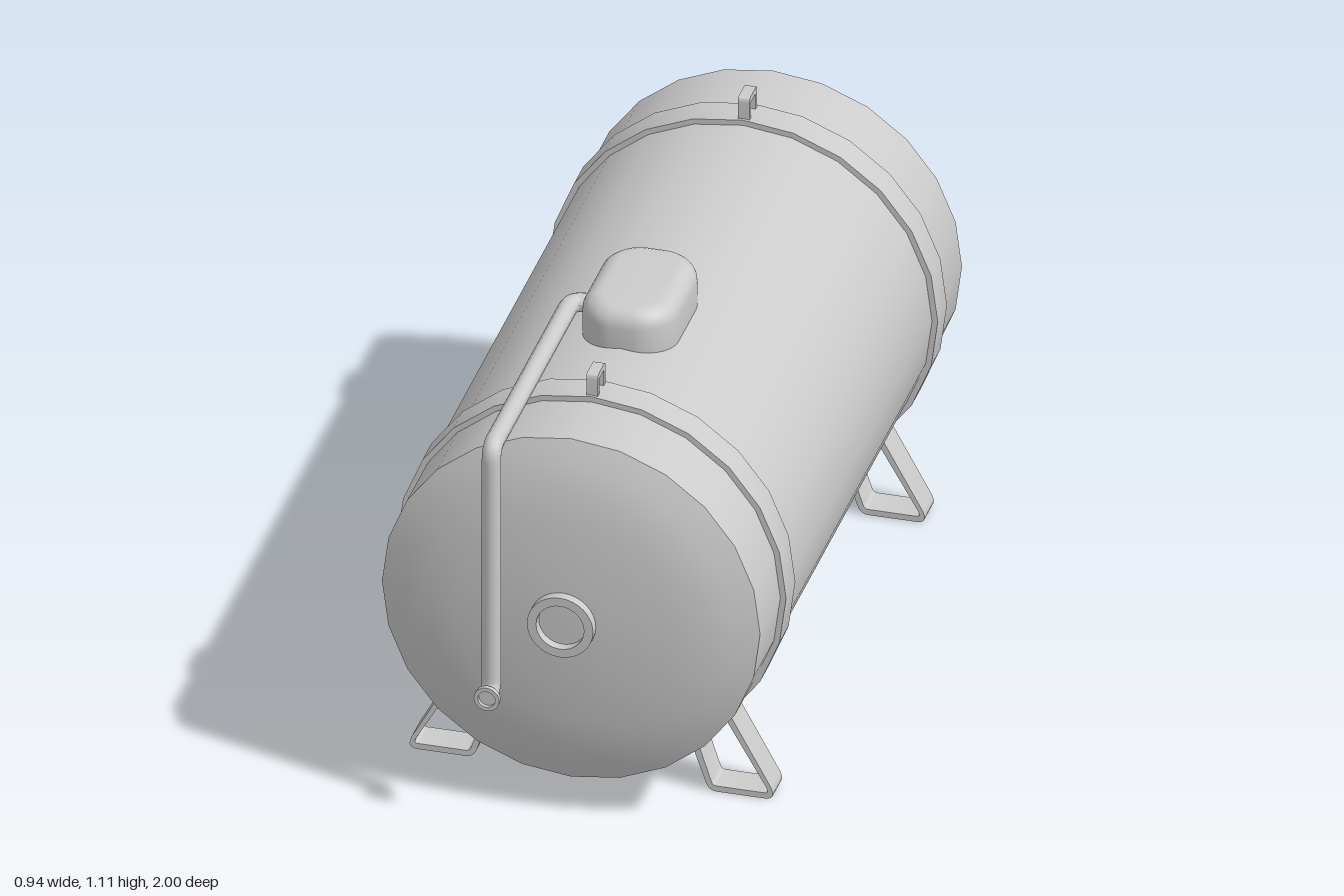
import * as THREE from 'three';
import { toCreasedNormals } from 'three/addons/utils/BufferGeometryUtils.js';

const AXIS_Y = 0.55, BODY_R = 0.458, BAND_R = 0.472, BAND_W = 0.08;
const BAND_Z = [0.635, -0.68];
const V2 = (x, y) => new THREE.Vector2(x, y);
const V3 = (x, y, z) => new THREE.Vector3(x, y, z);

export function createModel() {
  const model = new THREE.Group();
  model.name = 'horizontalTank';
  const material = new THREE.MeshStandardMaterial({ color: 0xcccccc, roughness: 0.7 });

  function add(name, geometry, x = 0, y = 0, z = 0, parent = model) {
    const mesh = new THREE.Mesh(toCreasedNormals(geometry, 0.6), material);
    mesh.name = name;
    mesh.position.set(x, y, z);
    parent.add(mesh);
    return mesh;
  }

  // Revolves [radius, z] pairs around the z axis
  const turned = (points, sides = 24) =>
    new THREE.LatheGeometry(points.map(([r, z]) => V2(r, z)), sides).rotateX(Math.PI / 2);

  // Extrudes a shape along z, centred on z = 0
  const slab = (shape, depth) =>
    new THREE.ExtrudeGeometry(shape, { depth, bevelEnabled: false, curveSegments: 6 })
      .translate(0, 0, -depth / 2);

  // Tank shell with shallow domed ends
  const dome = [[0, 0.073], [0.1, 0.071], [0.18, 0.065], [0.27, 0.056], [0.34, 0.044], [0.4, 0.026], [BODY_R, 0]];
  add('tankShell', turned([
    ...dome.map(([r, h]) => [r, -0.9 - h]),
    ...[...dome].reverse().map(([r, h]) => [r, 0.85 + h]),
  ]), 0, AXIS_Y);

  // Round port in the middle of each end, with a recessed face
  const port = [[0.08, -0.03], [0.08, 0.03], [0.058, 0.03], [0.058, 0.006], [0, 0.006]];
  add('frontPort', turned(port, 32), 0, AXIS_Y, 0.916);
  add('backPort', turned(port, 32).rotateY(Math.PI), 0, AXIS_Y, -0.97);

  // One leg: an open bent strap hanging from two corners of the band
  function legShape() {
    const s = new THREE.Shape();
    s.moveTo(0.334, 0.216);
    s.lineTo(0.435, 0.032);
    s.quadraticCurveTo(0.45, 0, 0.42, 0);
    s.lineTo(0.305, 0);
    s.quadraticCurveTo(0.285, 0, 0.278, 0.02);
    s.lineTo(0.236, 0.141);
    s.lineTo(0.25, 0.151);
    s.lineTo(0.291, 0.025);
    s.quadraticCurveTo(0.294, 0.015, 0.305, 0.015);
    s.lineTo(0.418, 0.015);
    s.quadraticCurveTo(0.432, 0.015, 0.425, 0.028);
    s.lineTo(0.322, 0.206);
    s.closePath();
    return s;
  }

  // Lifting lug: a small arch in the z-y plane
  function lugGeometry() {
    const s = new THREE.Shape();
    s.moveTo(-0.033, 0);
    s.lineTo(-0.019, 0);
    s.lineTo(-0.019, 0.044);
    s.lineTo(0.019, 0.044);
    s.lineTo(0.019, 0);
    s.lineTo(0.033, 0);
    s.lineTo(0.033, 0.048);
    s.quadraticCurveTo(0.033, 0.06, 0.021, 0.06);
    s.lineTo(-0.021, 0.06);
    s.quadraticCurveTo(-0.033, 0.06, -0.033, 0.048);
    s.closePath();
    return slab(s, 0.028).rotateY(Math.PI / 2);
  }

  // Two support straps, each with a pair of legs and a lug
  const h = BAND_W / 2;
  BAND_Z.forEach((z, i) => {
    const support = new THREE.Group();
    support.name = i ? 'backSupport' : 'frontSupport';
    support.position.z = z;
    model.add(support);
    add('strap', turned([
      [BODY_R - 0.006, -h], [BAND_R, -h], [BAND_R, h], [BODY_R - 0.006, h],
    ]), 0, AXIS_Y, 0, support);
    add('leftLeg', slab(legShape(), BAND_W), 0, 0, 0, support);
    add('rightLeg', slab(legShape(), BAND_W).rotateY(Math.PI), 0, 0, 0, support);
    add('liftingLug', lugGeometry(), 0, 1.018, 0, support);
  });

  // Rounded housing on top of the tank
  const bevel = 0.045, hx = 0.115 - bevel, hz = 0.168 - bevel, r = 0.05;
  const plan = new THREE.Shape();
  plan.moveTo(-hx + r, -hz);
  plan.lineTo(hx - r, -hz);
  plan.absarc(hx - r, -hz + r, r, -Math.PI / 2, 0);
  plan.absarc(hx - r, hz - r, r, 0, Math.PI / 2);
  plan.absarc(-hx + r, hz - r, r, Math.PI / 2, Math.PI);
  plan.absarc(-hx + r, -hz + r, r, Math.PI, Math.PI * 1.5);
  const housing = new THREE.ExtrudeGeometry(plan, {
    depth: 0.07, bevelSize: bevel, bevelThickness: bevel, bevelSegments: 6, curveSegments: 8,
  }).rotateX(-Math.PI / 2);
  add('topHousing', housing, 0, 1.105 - 0.07 - bevel, 0.253);

  // Drain pipe: out of the housing, along the top, down the front
  const px = -0.163, pz = 0.957, bend = 0.035;
  const corners = [
    V3(-0.09, 1.02, 0.26), V3(px, 1.02, 0.26), V3(px, 1.02, pz), V3(px, 0.36, pz), V3(px, 0.36, 0.996),
  ];
  const path = new THREE.CurvePath();
  let from = corners[0];
  for (let i = 1; i < corners.length - 1; i++) {
    const c = corners[i];
    const toward = (p) => c.clone().add(p.clone().sub(c).setLength(bend));
    const a = toward(corners[i - 1]), b = toward(corners[i + 1]);
    path.add(new THREE.LineCurve3(from, a));
    path.add(new THREE.QuadraticBezierCurve3(a, c, b));
    from = b;
  }
  path.add(new THREE.LineCurve3(from, corners[corners.length - 1]));
  add('drainPipe', new THREE.TubeGeometry(path, 200, 0.023, 14, false));

  // Collar and recessed opening at the pipe outlet
  add('pipeOutlet', turned([
    [0.02, -0.012], [0.031, -0.012], [0.031, 0], [0.021, 0], [0.021, -0.01], [0, -0.01],
  ], 20), px, 0.36, 1);

  return model;
}
